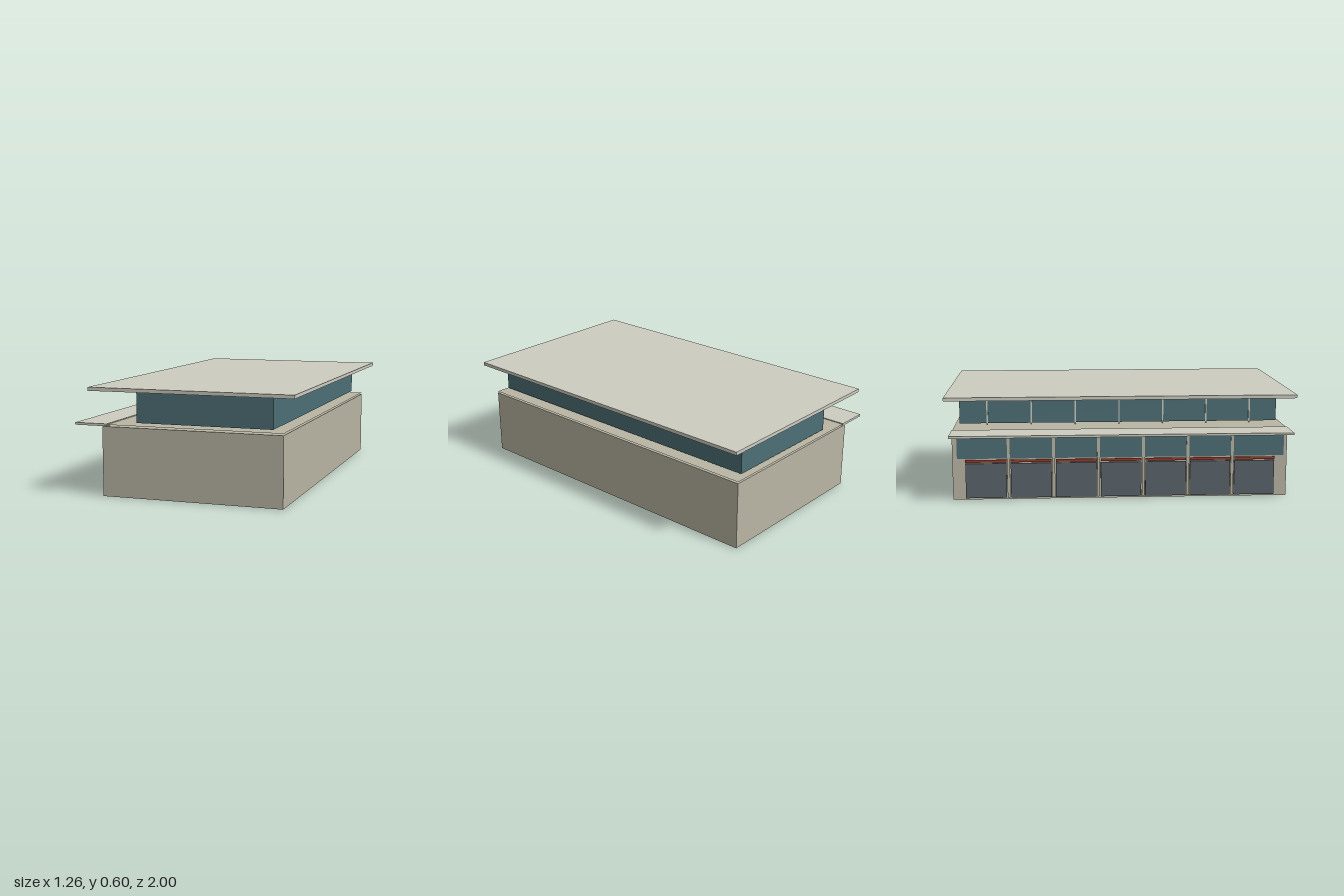
import * as THREE from 'three';

const mat = (color) => new THREE.MeshStandardMaterial({ color });

export function createModel() {
  const group = new THREE.Group();
  const wallMat = mat(0xbab6a4);
  const roofMat = mat(0xccccc0);
  const glassMat = mat(0x4d6f76);
  const doorMat = mat(0x5b646a);
  const trimMat = mat(0x9c3a2c);

  // Box given by its minimum and maximum corners
  function box(name, material, [x0, y0, z0], [x1, y1, z1]) {
    const mesh = new THREE.Mesh(new THREE.BoxGeometry(x1 - x0, y1 - y0, z1 - z0), material);
    mesh.position.set((x0 + x1) / 2, (y0 + y1) / 2, (z0 + z1) / 2);
    mesh.name = name;
    group.add(mesh);
    return mesh;
  }

  // Ground floor and its thin roof deck
  box('groundFloor', wallMat, [-0.465, 0, -0.965], [0.561, 0.387, 0.965]);
  const deck = new THREE.Mesh(new THREE.PlaneGeometry(1.026, 1.93), wallMat);
  deck.rotation.x = -Math.PI / 2;
  deck.position.set(0.048, 0.397, 0);
  deck.name = 'roofDeck';
  group.add(deck);

  // Set-back glazed upper floor
  box('upperGlazing', glassMat, [-0.274, 0.41, -0.935], [0.497, 0.576, 0.935]);

  // Overhanging main roof and the canopy above the doors
  box('mainRoof', roofMat, [-0.532, 0.583, -1], [0.628, 0.603, 1]);
  box('canopy', roofMat, [-0.628, 0.389, -0.967], [-0.438, 0.402, 0.967]);

  // Window band over the doors
  box('windowBand', glassMat, [-0.472, 0.24, -0.938], [-0.466, 0.364, 0.945]);

  // Seven bays: a door with a red strip on top
  const pitch = 0.258;
  for (let i = -3; i <= 3; i++) {
    const z = i * pitch;
    box('door', doorMat, [-0.476, 0.01, z - 0.117], [-0.466, 0.212, z + 0.117]);
    box('doorTrim', trimMat, [-0.48, 0.219, z - 0.117], [-0.474, 0.234, z + 0.117]);
  }

  // Posts between the bays, and mullions along the upper glazing
  for (let i = 0; i < 6; i++) {
    const z = (i - 2.5) * pitch;
    box('bayPost', wallMat, [-0.474, 0.01, z - 0.008], [-0.465, 0.387, z + 0.008]);
  }
  for (let i = -3; i <= 3; i++) {
    const z = i * pitch;
    box('mullion', roofMat, [-0.28, 0.402, z - 0.004], [-0.274, 0.583, z + 0.004]);
  }

  return group;
}
